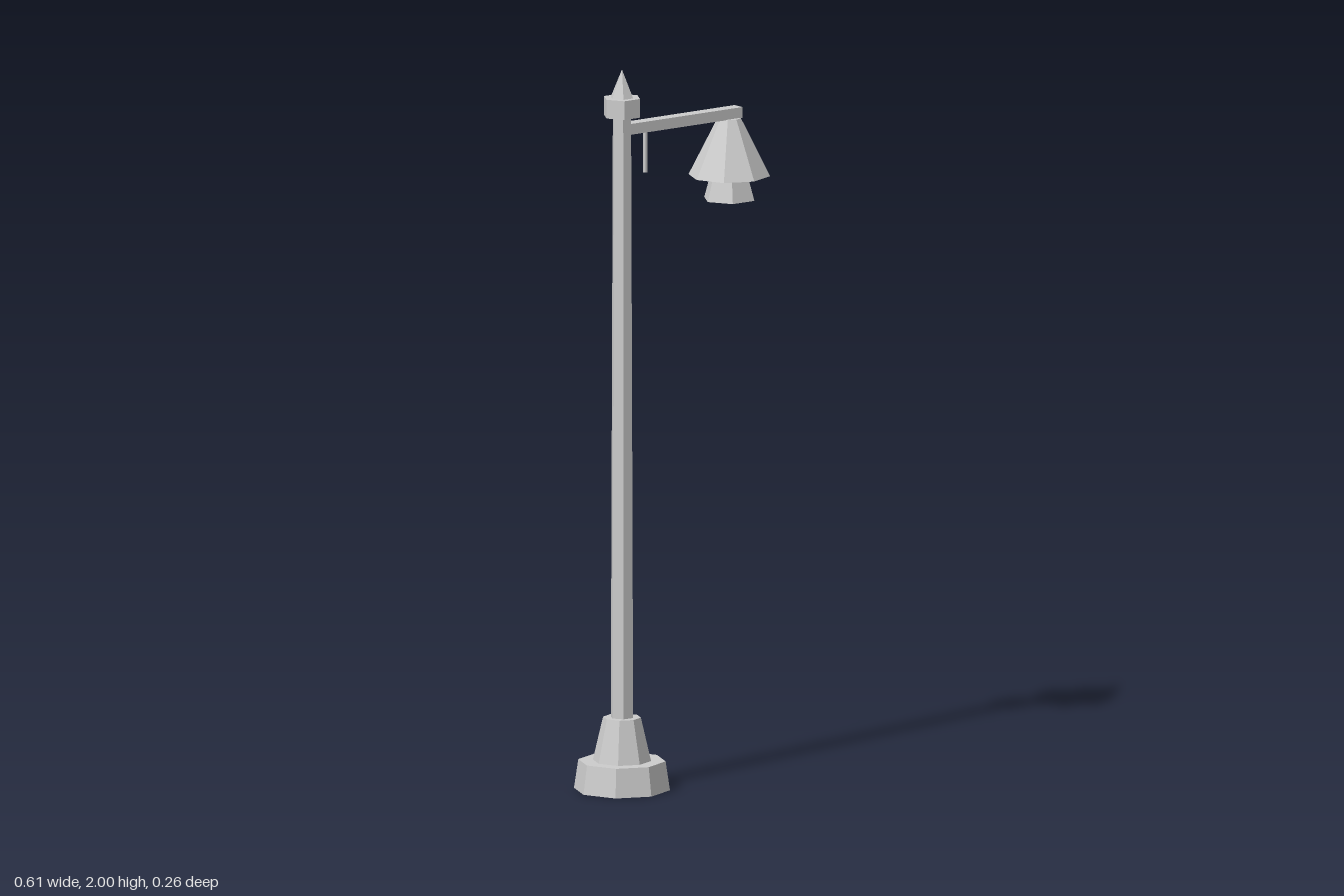
import * as THREE from 'three';

export function createModel() {
  const lamp = new THREE.Group();
  lamp.name = 'streetLamp';
  const metal = new THREE.MeshStandardMaterial({ color: 0xcccccc, flatShading: true });
  metal.name = 'lightGreyMetal';

  const postX = -0.175;
  const shadeX = 0.193;

  const add = (name, geometry, x, y) => {
    const mesh = new THREE.Mesh(geometry, metal);
    mesh.name = name;
    mesh.position.set(x, y, 0);
    lamp.add(mesh);
  };

  // Faceted tapered section between two heights, with corners on the x axis
  const section = (name, x, y0, y1, r0, r1, sides) => {
    const geometry = new THREE.CylinderGeometry(r1, r0, y1 - y0, sides);
    geometry.rotateY(Math.PI / 2);
    add(name, geometry, x, (y0 + y1) / 2);
  };

  // Stepped octagonal foot
  section('basePlinth', postX, 0, 0.08, 0.132, 0.12, 8);
  section('baseCollar', postX, 0.08, 0.2, 0.08, 0.052, 8);

  // Hexagonal post with its cap and pointed finial
  section('post', postX, 0.2, 1.87, 0.033, 0.027, 6);
  section('postCap', postX, 1.87, 1.922, 0.053, 0.053, 6);
  section('finial', postX, 1.922, 2, 0.033, 0, 6);

  // Side arm and the small rod hanging from it
  add('arm', new THREE.BoxGeometry(0.4, 0.03, 0.035), 0.025, 1.834);
  section('hangingRod', -0.095, 1.705, 1.82, 0.007, 0.007, 6);

  // Octagonal shade over a hexagonal lantern
  section('shade', shadeX, 1.661, 1.82, 0.112, 0.032, 8);
  section('lantern', shadeX, 1.595, 1.661, 0.074, 0.055, 6);

  return lamp;
}
